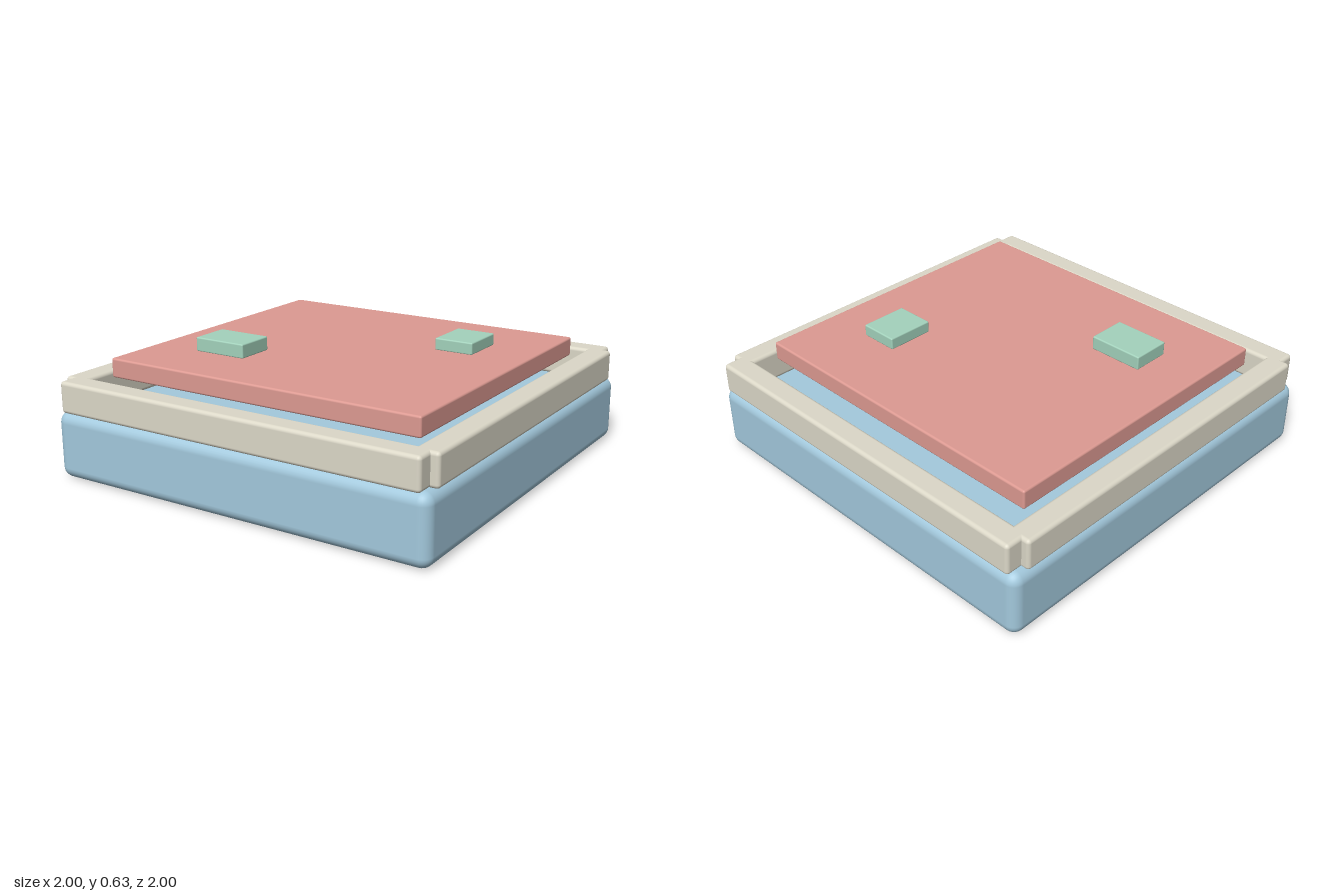
import * as THREE from 'three';
import { RoundedBoxGeometry } from 'three/addons/geometries/RoundedBoxGeometry.js';

const paint = (color) => new THREE.MeshStandardMaterial({ color });

export function createModel() {
  const model = new THREE.Group();
  const blue = paint(0xa3c9dd), cream = paint(0xdcd8c8), red = paint(0xdd9a92), green = paint(0xa3d2bc);

  // Rounded block given by its centre in x and z, and its bottom y
  const block = (name, material, [w, h, d], [x, y, z], radius) => {
    const mesh = new THREE.Mesh(new RoundedBoxGeometry(w, h, d, 4, radius), material);
    mesh.name = name;
    mesh.position.set(x, y + h / 2, z);
    model.add(mesh);
  };

  // Base slab
  block('base', blue, [2, 0.33, 2], [0, 0, 0], 0.055);

  // Frame of four rails on the base, leaving the corners notched
  for (const s of [1, -1]) {
    block(s > 0 ? 'frontRail' : 'backRail', cream, [1.92, 0.155, 0.12], [0, 0.327, s * 0.94], 0.018);
    block(s > 0 ? 'leftRail' : 'rightRail', cream, [0.12, 0.155, 1.84], [s * 0.94, 0.327, 0], 0.018);
  }

  // Raised panel hovering inside the frame
  block('panel', red, [1.675, 0.095, 1.555], [0, 0.467, 0], 0.01);

  // Two small blocks on the panel
  block('frontBlock', green, [0.28, 0.07, 0.2], [-0.445, 0.56, 0.355], 0.007);
  block('backBlock', green, [0.2, 0.06, 0.24], [0.475, 0.56, -0.305], 0.007);

  return model;
}
